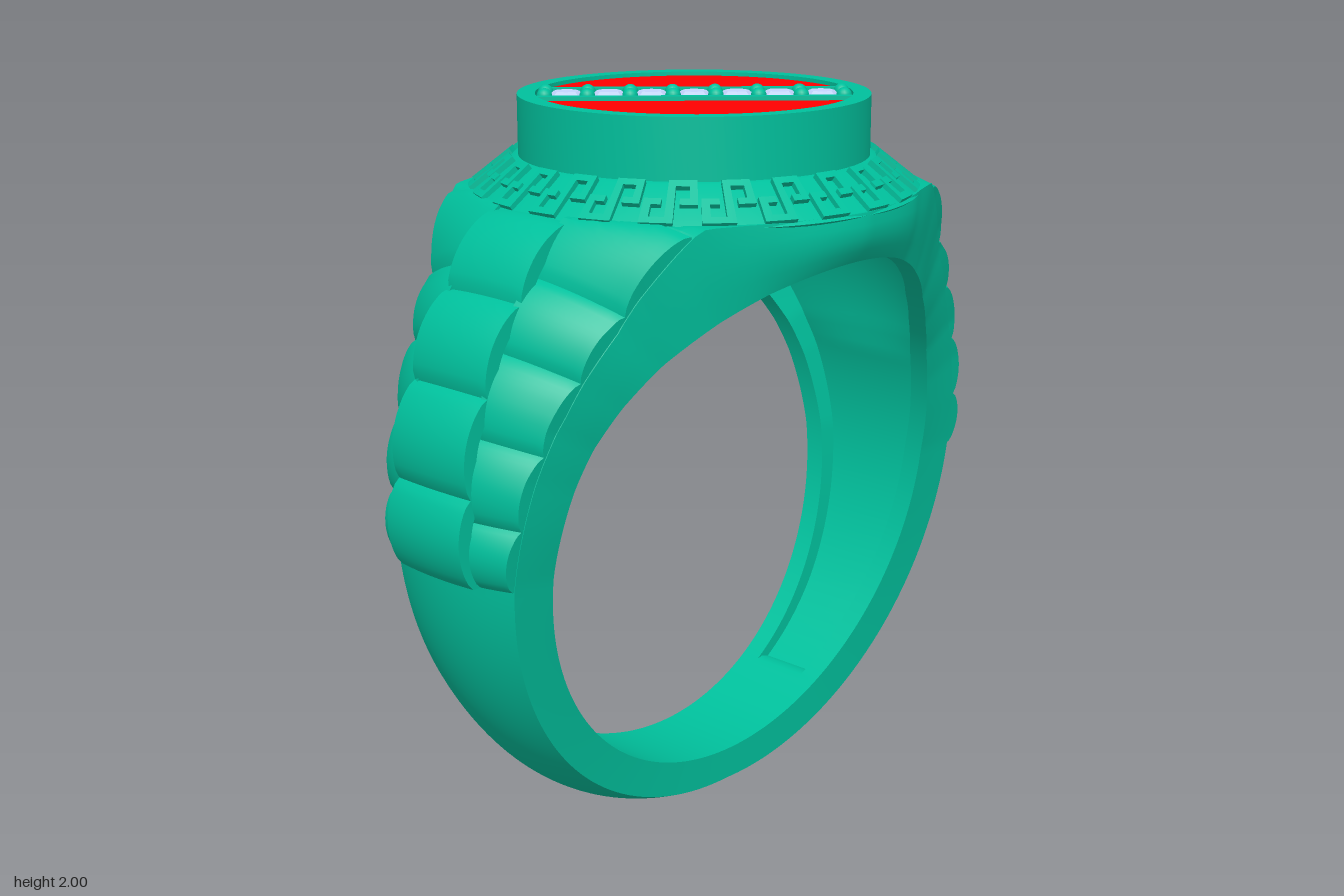
import * as THREE from 'three';
import { toCreasedNormals, mergeGeometries } from 'three/addons/utils/BufferGeometryUtils.js';

const CY = 0.865, RI = 0.745, PLATE = 0.875; // hole centre, hole radius, height of head plate above centre
const DEG = Math.PI / 180;
const metal = new THREE.MeshStandardMaterial({ color: 0x00c09c });
const metalThin = new THREE.MeshStandardMaterial({ color: 0x00c09c, side: THREE.DoubleSide });
const enamel = new THREE.MeshStandardMaterial({ color: 0xff0000 });
const stone = new THREE.MeshStandardMaterial({ color: 0xc4d6ff, flatShading: true });

// piecewise interpolation through [key, value] pairs
function interp(table, x) {
  if (x <= table[0][0]) return table[0][1];
  for (let i = 1; i < table.length; i++) {
    const [x0, y0] = table[i - 1], [x1, y1] = table[i];
    if (x <= x1) return y0 + (y1 - y0) * (x - x0) / (x1 - x0);
  }
  return table[table.length - 1][1];
}

// band rules, all by elevation angle t in degrees (-90 bottom, 90 top)
const WIDTH = [[0.12, 0.135], [0.87, 0.225], [1.0, 0.25], [1.1, 0.268], [1.2, 0.293], [1.3, 0.333], [1.4, 0.385],
  [1.5, 0.46], [1.56, 0.515], [1.61, 0.575]];
const FLARE = [[0, 1], [25, 0.97], [50, 0.91], [62, 0.94], [72, 1], [90, 1.05]];
const CROWN = [[-90, 0.865], [-45, 0.895], [0, 0.92], [57, 1.035]];
const EDGE = [[-90, 0.835], [0, 0.875], [30, 0.875], [45, 0.895], [55, 0.945], [62, 0.98]];
const RECESS = [[-59, RI], [-57, 0.775], [-35, 0.79], [25, 0.81], [55, 0.87]];
const DOME = [[20, 0], [56, 0.1]];
const innerW = t => interp(WIDTH, CY + RI * Math.sin(t * DEG));
const outerW = t => innerW(t) * interp(FLARE, t);
const clip = (r, t, h) => t > 20 ? Math.min(r, h / Math.sin(t * DEG)) : r;
function bandR(t, z) {
  const f = Math.min(1, Math.abs(z) / outerW(t)), e = interp(EDGE, t);
  return clip(e + (interp(CROWN, t) - e) * (1 - f * f), t, PLATE);
}

// surface through rows of [radius, angle in degrees, z]
function sweep(rows) {
  const pos = [], idx = [], n = rows[0].length;
  for (const row of rows) for (const [r, a, z] of row) pos.push(r * Math.cos(a * DEG), CY + r * Math.sin(a * DEG), z);
  for (let i = 0; i < rows.length - 1; i++) for (let j = 0; j < n - 1; j++) {
    const a = i * n + j, c = a + n;
    idx.push(a, a + 1, c, a + 1, c + 1, c);
  }
  const g = new THREE.BufferGeometry();
  g.setAttribute('position', new THREE.Float32BufferAttribute(pos, 3));
  g.setIndex(idx);
  return toCreasedNormals(g, 0.6);
}

function add(parent, name, geometry, material) {
  const m = new THREE.Mesh(geometry, material);
  m.name = name;
  parent.add(m);
  return m;
}

// ring body with rounded flanks and a hollowed inside
function bandGeometry() {
  const rows = [];
  for (let a = -90; a <= 270; a += 1.5) {
    const t = Math.asin(Math.sin(a * DEG)) / DEG, wi = innerW(t), wo = outerW(t), row = [];
    for (let j = 0; j <= 20; j++) {
      const z = wo * (1 - j / 10);
      row.push([bandR(t, z), a, z]);
    }
    const edge = row[0][0], bulge = 0.018 * THREE.MathUtils.smoothstep(t, 50, 80);
    const flank = (k, s) => [edge + (RI - edge) * k, a, s * (wo + (wi - wo) * k + bulge * Math.sin(Math.PI * k))];
    row.push(flank(0.25, -1), flank(0.5, -1), flank(0.75, -1), [RI, a, -wi]);
    const wl = wi - 0.06;
    row.push([RI, a, -wl]);
    for (let j = -4; j <= 4; j++) {
      const f = j / 4;
      row.push([clip(interp(RECESS, t) + interp(DOME, t) * (1 - f * f), t, 0.84), a, f * wl]);
    }
    row.push([RI, a, wl], [RI, a, wi], flank(0.75, 1), flank(0.5, 1), flank(0.25, 1), row[0]);
    rows.push(row);
  }
  return sweep(rows);
}

// one rounded scale from angle a0 to a1; zAt(s, t) gives its span, rAt(t, z, bump) its height
function scaleGeometry(a0, a1, zAt, rAt) {
  const nu = 14, nv = 10, rows = [];
  for (let i = -1; i <= nu + 1; i++) {
    const u = THREE.MathUtils.clamp(i / nu, 0, 1), t = a0 + (a1 - a0) * u, row = [];
    const bump = Math.pow(Math.max(0, Math.sin(Math.PI * u)), 0.65);
    for (let j = -1; j <= nv + 1; j++) {
      const z = zAt(THREE.MathUtils.clamp(j / nv, 0, 1), t);
      const skirt = i < 0 || i > nu || j < 0 || j > nv;
      row.push([clip(rAt(t, z, bump), t, PLATE + 0.005) - (skirt ? 0.04 : 0), t, z]);
    }
    rows.push(row);
  }
  return sweep(rows);
}

function shoulder() {
  const g = new THREE.Group();
  const mid = [0, 13.9, 28.6, 42.4, 56], side = [0, 10.4, 22.9, 35.6, 47.3, 61];
  for (let i = 0; i < mid.length - 1; i++) {
    add(g, 'centreScale', scaleGeometry(mid[i], mid[i + 1], s => 0.137 * (1 - 2 * s),
      (t, z, b) => interp(CROWN, t) + 0.022 + 0.036 * b - 0.5 * z * z), metalThin);
  }
  for (const sgn of [1, -1]) for (let i = 0; i < side.length - 1; i++) {
    const span = (s, t) => sgn * (0.12 + (outerW(t) * 0.995 - 0.12) * (sgn > 0 ? 1 - s : s));
    add(g, 'sideScale', scaleGeometry(side[i], side[i + 1], span,
      (t, z, b) => bandR(t, z) + 0.006 + 0.03 * b), metalThin);
  }
  return g;
}

// raised key border wrapped round the sloping collar
function keyBorder() {
  const path = [[0.27, 0.5], [0.1, 0.5], [0.1, 0.08], [0.5, 0.08], [0.5, 0.92], [0.9, 0.92], [0.9, 0.5], [0.73, 0.5]];
  const parts = [], count = 24, w = 0.14;
  for (let k = 0; k < count; k++) for (let i = 0; i < path.length - 1; i++) {
    const [u0, v0] = path[i], [u1, v1] = path[i + 1];
    const b = new THREE.BoxGeometry(Math.abs(u1 - u0) + w, Math.abs(v1 - v0) + w, 0.02, 3, 1, 1);
    b.translate((u0 + u1) / 2, (v0 + v1) / 2, -0.004);
    const p = b.attributes.position;
    for (let n = 0; n < p.count; n++) {
      const a = (k + p.getX(n)) / count * Math.PI * 2, v = p.getY(n), h = p.getZ(n);
      const r = 0.602 - 0.112 * v + 0.6 * h;
      p.setXYZ(n, r * Math.sin(a), 1.742 + 0.088 * v + 0.8 * h, r * Math.cos(a));
    }
    parts.push(b);
  }
  return toCreasedNormals(mergeGeometries(parts), 0.5);
}

// flat slab lying in the xz plane, from a shape drawn in x and -z
function slab(shape, bottom, depth) {
  const g = new THREE.ExtrudeGeometry(shape, { depth, bevelEnabled: false, curveSegments: 48 });
  return g.rotateX(-Math.PI / 2).translate(0, bottom, 0);
}

export function createModel() {
  const ring = new THREE.Group();
  ring.name = 'ring';
  add(ring, 'band', bandGeometry(), metal);

  for (const s of [0, 1]) {
    const g = shoulder();
    g.name = s ? 'rightShoulder' : 'leftShoulder';
    g.rotation.y = s * Math.PI;
    ring.add(g);
  }

  // head: sloping collar, round wall and recessed floor
  const profile = [[0, 1.72], [0.59, 1.72], [0.605, 1.732], [0.597, 1.738], [0.485, 1.822], [0.47, 1.825],
    [0.47, 1.985], [0.422, 1.985], [0.422, 1.945], [0, 1.945]].map(p => new THREE.Vector2(...p));
  add(ring, 'head', toCreasedNormals(new THREE.LatheGeometry(profile, 96), 0.5), metal);
  add(ring, 'keyBorder', keyBorder(), metal);

  // face: two enamel segments either side of a diagonal channel
  const face = new THREE.Group();
  face.name = 'face';
  face.rotation.y = -Math.PI / 4;
  ring.add(face);
  const R = 0.424, half = 0.1, a = Math.asin(half / R);
  for (const s of [0, 1]) {
    const seg = new THREE.Shape();
    seg.absarc(0, 0, R, a, Math.PI - a, false);
    seg.closePath();
    add(face, 'enamelSegment', slab(seg, 1.94, 0.034), enamel).rotation.y = s * Math.PI;
    const rail = add(face, 'channelRail', new THREE.BoxGeometry(0.826, 0.045, 0.026), metal);
    rail.position.set(0, 1.9625, (s ? 1 : -1) * (half - 0.013));
  }

  // row of cut stones held by beads
  const step = 0.113;
  const gemGeo = mergeGeometries([
    new THREE.CylinderGeometry(0.034, 0.056, 0.02, 8).translate(0, 0.01, 0),
    new THREE.CylinderGeometry(0.056, 0.03, 0.03, 8).translate(0, -0.015, 0),
  ]);
  const beadGeo = new THREE.SphereGeometry(0.021, 16, 12);
  for (let i = 0; i < 7; i++) add(face, 'stone', gemGeo, stone).position.set((i - 3) * step, 1.968, 0);
  for (let i = 0; i < 8; i++) for (const s of [-1, 1]) {
    add(face, 'bead', beadGeo, metal).position.set((i - 3.5) * step, 1.979, s * 0.04);
  }
  return ring;
}
